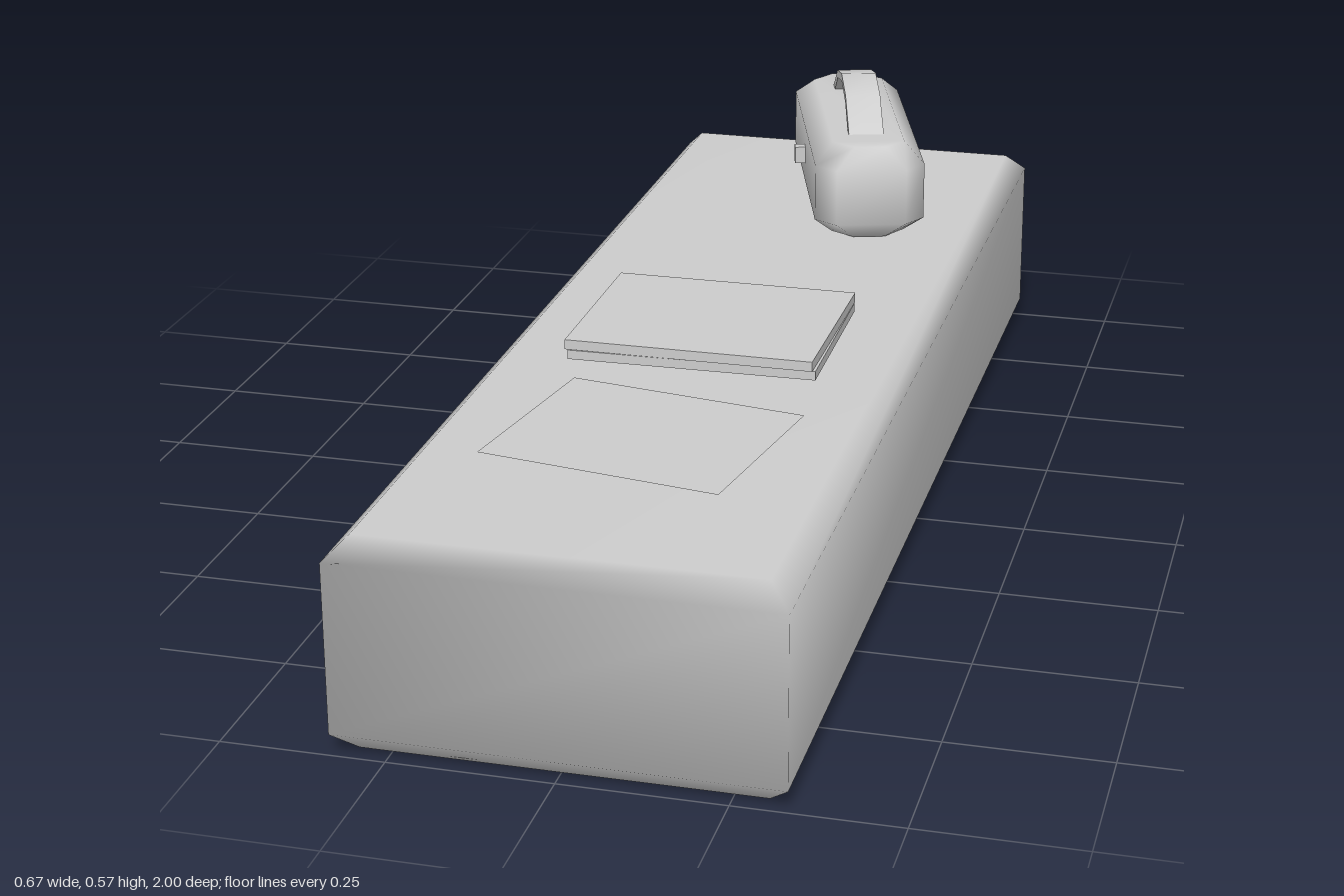
import * as THREE from 'three';
import { toCreasedNormals } from 'three/addons/utils/BufferGeometryUtils.js';

// Rectangle outline with optional cut corners, counter-clockwise seen from above
function outline(hx, hz, cut) {
  if (!cut) return [[hx, hz], [hx, -hz], [-hx, -hz], [-hx, hz]];
  return [
    [hx, hz - cut], [hx, cut - hz], [hx - cut, -hz], [cut - hx, -hz],
    [-hx, cut - hz], [-hx, hz - cut], [cut - hx, hz], [hx - cut, hz],
  ];
}

// Smooth block with bevelled top and bottom edges
function bevelledBlock(hx, hz, y0, y1, bevel, cut, closedBottom) {
  const levels = [[y0, bevel], [y0 + bevel, 0], [y1 - bevel, 0], [y1, bevel]];
  const positions = [], index = [];
  let n = 0;
  for (const [y, inset] of levels) {
    const ring = outline(hx - inset, hz - inset, cut);
    n = ring.length;
    for (const [x, z] of ring) positions.push(x, y, z);
  }
  for (let k = 0; k < levels.length - 1; k++) {
    for (let i = 0; i < n; i++) {
      const a = k * n + i, b = k * n + (i + 1) % n;
      index.push(a, b, b + n, a, b + n, a + n);
    }
  }
  const top = (levels.length - 1) * n;
  for (let i = 1; i < n - 1; i++) {
    index.push(top, top + i, top + i + 1);
    if (closedBottom) index.push(0, i + 1, i);
  }
  const geometry = new THREE.BufferGeometry();
  geometry.setAttribute('position', new THREE.Float32BufferAttribute(positions, 3));
  geometry.setIndex(index);
  geometry.computeVertexNormals();
  return geometry;
}

export function createModel() {
  const model = new THREE.Group();
  model.name = 'benchWithCase';
  const grey = new THREE.MeshStandardMaterial({ color: 0xcccccc, side: THREE.DoubleSide });
  grey.name = 'light grey';

  function add(parent, name, geometry, x = 0, y = 0, z = 0, turn = 0) {
    const mesh = new THREE.Mesh(geometry, grey);
    mesh.name = name;
    mesh.position.set(x, y, z);
    mesh.rotation.y = turn;
    parent.add(mesh);
    return mesh;
  }

  // Long bench, hollow and open underneath
  add(model, 'bench', bevelledBlock(0.333, 1, 0, 0.333, 0.033, 0, false));

  // Two stacked boards, the lower one slightly turned
  add(model, 'lowerBoard', new THREE.BoxGeometry(0.4, 0.015, 0.315), 0.002, 0.3475, 0.115, 0.014);
  add(model, 'upperBoard', new THREE.BoxGeometry(0.4, 0.016, 0.322), 0, 0.364, 0.114);

  // Loose sheet lying on the bench
  const sheet = new THREE.PlaneGeometry(0.387, 0.322).rotateX(-Math.PI / 2);
  add(model, 'sheet', sheet, 0, 0.337, 0.532, -0.165);

  // Case turned at an angle
  const handheld = new THREE.Group();
  handheld.name = 'case';
  handheld.position.set(0.075, 0, -0.655);
  handheld.rotation.y = 0.3;
  model.add(handheld);
  add(handheld, 'caseBody', bevelledBlock(0.096, 0.265, 0.335, 0.5, 0.033, 0.035, true));

  // Arched carrying strap
  const arch = [[-0.165, 0.495], [-0.083, 0.55], [0, 0.567], [0.083, 0.55], [0.165, 0.495]];
  const inner = arch.map(([x, y]) => [x * 0.93, y - 0.013]).reverse();
  const profile = new THREE.Shape([...arch, ...inner].map(([x, y]) => new THREE.Vector2(x, y)));
  const strap = new THREE.ExtrudeGeometry(profile, { depth: 0.062, bevelEnabled: false });
  strap.translate(0, 0, -0.031).rotateY(Math.PI / 2);
  add(handheld, 'strap', toCreasedNormals(strap, 0.8));

  // Small latch on the side
  add(handheld, 'latch', new THREE.BoxGeometry(0.025, 0.03, 0.02), -0.102, 0.417, 0);

  return model;
}
